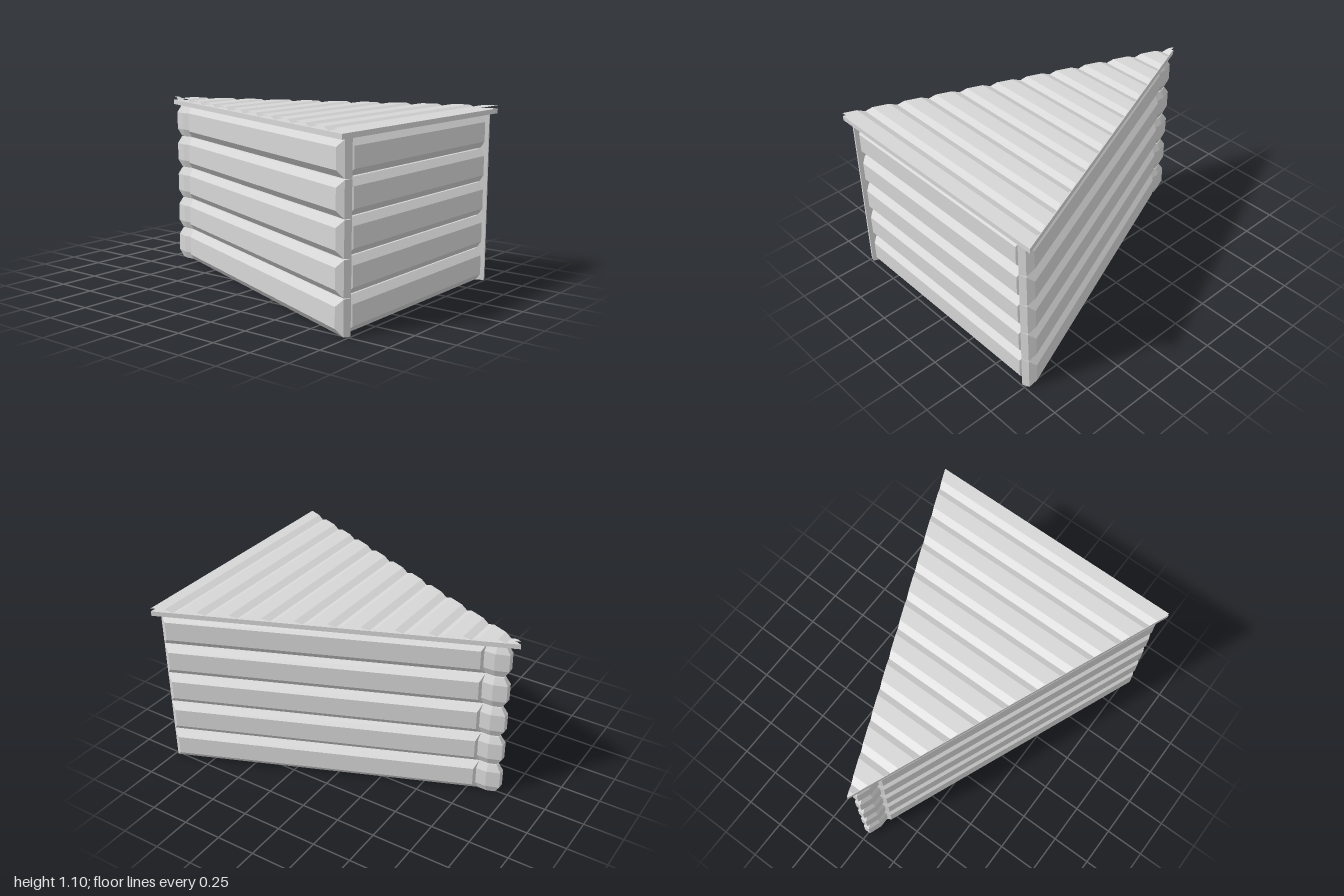
import * as THREE from 'three';

const SLOPE = 0.825 / 2;              // half width gained per unit of depth
const ANGLE = Math.atan(SLOPE);
const LOGS = 5, PITCH = 0.21;
const halfWidth = z => SLOPE * (z + 1);

// Joins equal-sized rings of points (counter-clockwise seen from the last ring) and caps both ends
function loft(rings) {
  const n = rings[0].length, index = [];
  for (let r = 0; r < rings.length - 1; r++) {
    for (let i = 0; i < n; i++) {
      const j = (i + 1) % n, a = r * n + i, b = r * n + j;
      index.push(a, b, b + n, a, b + n, a + n);
    }
  }
  const last = (rings.length - 1) * n;
  for (let i = 1; i < n - 1; i++) {
    index.push(0, i + 1, i, last, last + i, last + i + 1);
  }
  return flat(rings.flat(2), index);
}

function flat(points, index) {
  const g = new THREE.BufferGeometry();
  g.setAttribute('position', new THREE.Float32BufferAttribute(points, 3));
  g.setIndex(index);
  const out = g.toNonIndexed();
  out.computeVertexNormals();
  return out;
}

// Log with a flat inner side and a bevelled outer side facing +z
function logGeometry(x0, x1, bevel) {
  const ring = (z, dx, dy) => [
    [x0 + dx, dy, z], [x1 - dx, dy, z], [x1 - dx, PITCH - dy, z], [x0 + dx, PITCH - dy, z],
  ];
  return loft([ring(-0.08, 0, 0), ring(-0.035, 0, 0.003), ring(0, bevel, 0.045)]);
}

// Log end closing the narrow back corner
function tipGeometry() {
  const ring = (y, w, v, tip, z) => [
    [w, y, -0.78], [w, y, -0.87], [tip, y, z], [-tip, y, z], [-w, y, -0.87], [-w, y, -0.78],
  ];
  return loft([
    ring(0.003, 0.03, 0, 0.012, -0.92), ring(0.05, 0.05, 0, 0.02, -0.95),
    ring(0.16, 0.05, 0, 0.02, -0.95), ring(PITCH - 0.003, 0.03, 0, 0.012, -0.92),
  ]);
}

// Ridged covering, clipped to the triangular outline
function coveringGeometry() {
  const low = 1.082, high = 1.1, profile = [[-1, high], [-0.965, high]];
  for (let k = 10; k >= 0; k--) {
    const s = 0.875 - 0.18 * k;
    profile.push([s, low], [s + 0.045, high]);
    profile.push(k ? [s + 0.14, high] : [1, high]);
  }
  const points = [], index = [];
  profile.forEach(([z, y], i) => {
    points.push(-halfWidth(z), y, z, halfWidth(z), y, z);
    if (i) {
      const a = 2 * i - 2;
      index.push(a, a + 2, a + 3, a, a + 3, a + 1);
    }
  });
  return flat(points, index);
}

export function createModel() {
  const model = new THREE.Group();
  model.name = 'triangularLogShed';
  const grey = new THREE.MeshStandardMaterial({ color: 0xd6d6d6 });
  grey.name = 'light grey';

  const add = (name, geometry, parent = model) => {
    const mesh = new THREE.Mesh(geometry, grey);
    mesh.name = name;
    parent.add(mesh);
    return mesh;
  };

  // Stacked log walls
  const length = 1.932;
  const walls = [
    ['frontWall', logGeometry(-0.715, 0.715, 0.02), 0, 0.985, 0],
    ['leftWall', logGeometry(0, length, 0.03), 0.8, 0.965, Math.PI / 2 + ANGLE],
    ['rightWall', logGeometry(-length, 0, 0.03), -0.8, 0.965, -Math.PI / 2 - ANGLE],
    ['backCorner', tipGeometry(), 0, 0, 0],
  ];
  for (const [name, geometry, x, z, turn] of walls) {
    const wall = new THREE.Group();
    wall.name = name;
    wall.position.set(x, 0, z);
    wall.rotation.y = turn;
    for (let i = 0; i < LOGS; i++) {
      add(name + 'Log', geometry, wall).position.y = i * PITCH;
    }
    model.add(wall);
  }

  // Roof slab
  const outline = new THREE.Shape([
    new THREE.Vector2(-0.825, -1), new THREE.Vector2(0.825, -1), new THREE.Vector2(0, 1),
  ]);
  const slab = new THREE.ExtrudeGeometry(outline, { depth: 0.03, bevelEnabled: false });
  slab.rotateX(-Math.PI / 2);
  add('roofSlab', slab).position.y = 1.05;

  // Ridged roof covering
  add('roofCovering', coveringGeometry());
  return model;
}
